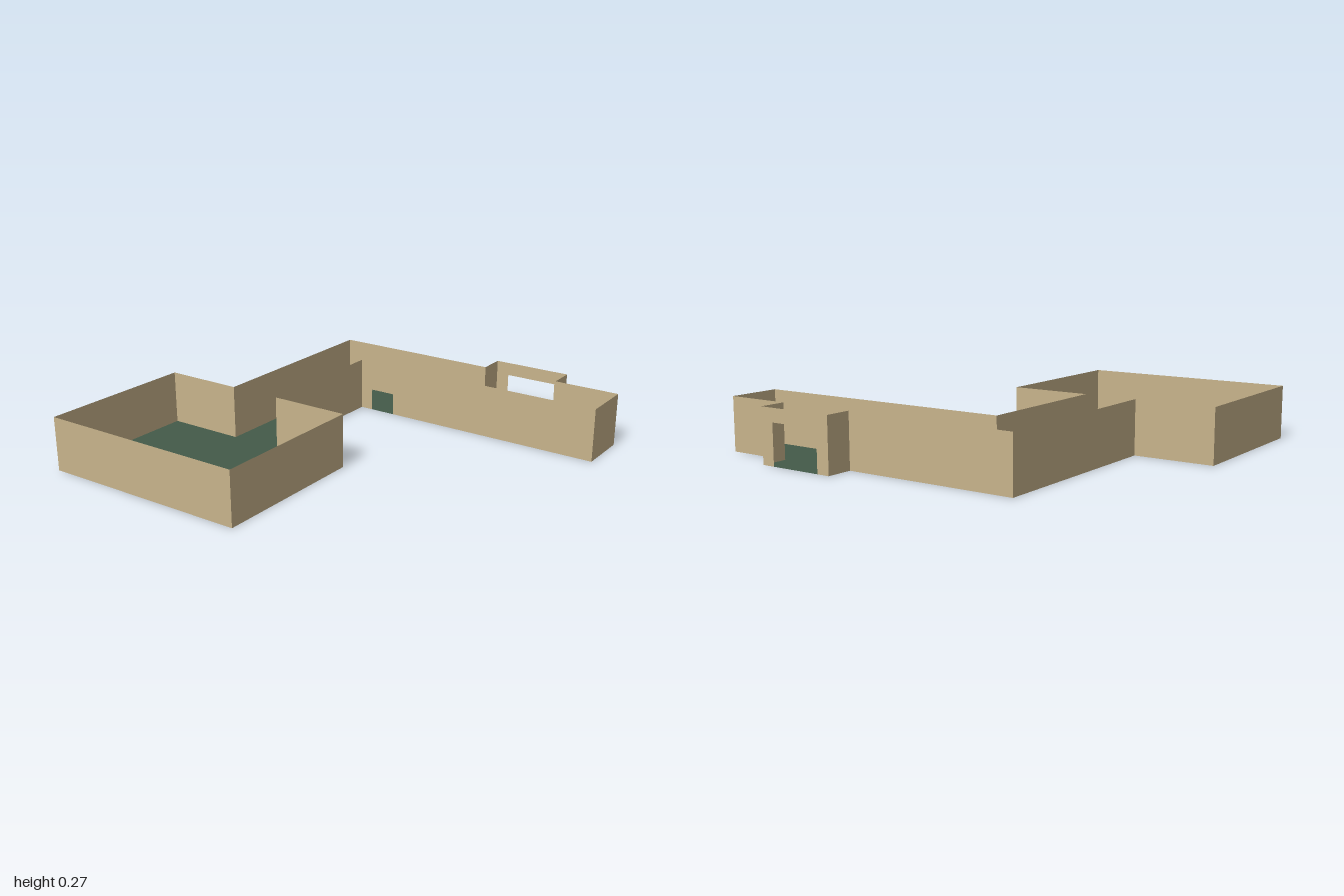
import * as THREE from 'three';

const U = 2 / 15;            // one floor-plan square
const WALL_HEIGHT = 2 * U;
const DOOR_HEIGHT = 1.5 * U;

// Floor plan corners [x, z] in squares; an optional third entry is the
// doorway [start, end] measured along the wall that begins at that corner.
const PLAN = [
  [-7.5, 7.25], [0.5, 7.25], [0.5, 1.25], [-2.5, 1.25],
  [-2.5, -4.25, [0.5, 1.5]],
  [7.5, -4.25], [7.5, -6.25], [5, -6.25],
  [5, -7.25, [0.5, 2.5]],
  [2, -7.25], [2, -6.25], [-4.5, -6.25], [-4.5, 1.25], [-7.5, 1.25],
];

function material(name, color, side = THREE.FrontSide) {
  const m = new THREE.MeshStandardMaterial({ color, side });
  m.name = name;
  return m;
}

// Thin upright wall, notched where a doorway reaches the floor
function makeWall([x1, z1, door], [x2, z2], mat) {
  const length = Math.hypot(x2 - x1, z2 - z1) * U;
  const s = new THREE.Shape();
  s.moveTo(0, 0);
  if (door) {
    const [a, b] = door.map((d) => d * U);
    s.lineTo(a, 0);
    s.lineTo(a, DOOR_HEIGHT);
    s.lineTo(b, DOOR_HEIGHT);
    s.lineTo(b, 0);
  }
  s.lineTo(length, 0);
  s.lineTo(length, WALL_HEIGHT);
  s.lineTo(0, WALL_HEIGHT);
  s.closePath();
  const wall = new THREE.Mesh(new THREE.ShapeGeometry(s), mat);
  wall.position.set(x1 * U, 0, z1 * U);
  wall.rotation.y = Math.atan2(z1 - z2, x2 - x1);
  return wall;
}

// Tiny figure standing in the passage
function makeFigure() {
  const cloth = material('brown cloth', 0x7a5238);
  const skin = material('light skin', 0xc49a78);
  const dark = material('dark boots', 0x33291f);
  const figure = new THREE.Group();
  figure.name = 'figure';
  const add = (name, geometry, mat, x, y, z) => {
    const mesh = new THREE.Mesh(geometry, mat);
    mesh.name = name;
    mesh.position.set(x, y, z);
    figure.add(mesh);
  };
  add('torso', new THREE.BoxGeometry(0.016, 0.018, 0.01), cloth, 0, 0.027, 0);
  add('head', new THREE.SphereGeometry(0.006, 10, 8), skin, 0, 0.042, 0);
  for (const side of [-1, 1]) {
    add('leg', new THREE.BoxGeometry(0.006, 0.018, 0.008), dark, side * 0.005, 0.009, 0);
    add('arm', new THREE.BoxGeometry(0.005, 0.016, 0.007), skin, side * 0.0105, 0.027, 0.002);
  }
  return figure;
}

export function createModel() {
  const group = new THREE.Group();
  group.name = 'roomAndCorridor';
  const wallMat = material('tan wall', 0xc8b48c, THREE.DoubleSide);
  const floorMat = material('green floor', 0x445b4a, THREE.DoubleSide);

  // Floor
  const outline = new THREE.Shape(PLAN.map(([x, z]) => new THREE.Vector2(x * U, -z * U)));
  const floor = new THREE.Mesh(new THREE.ShapeGeometry(outline).rotateX(-Math.PI / 2), floorMat);
  floor.name = 'floor';
  group.add(floor);

  // Walls around the whole plan
  PLAN.forEach((corner, i) => {
    const wall = makeWall(corner, PLAN[(i + 1) % PLAN.length], wallMat);
    wall.name = corner[2] ? 'doorwayWall' : 'wall';
    group.add(wall);
  });

  // Figure in the passage
  const figure = makeFigure();
  figure.position.set(-0.47, 0, -0.3);
  group.add(figure);
  return group;
}
